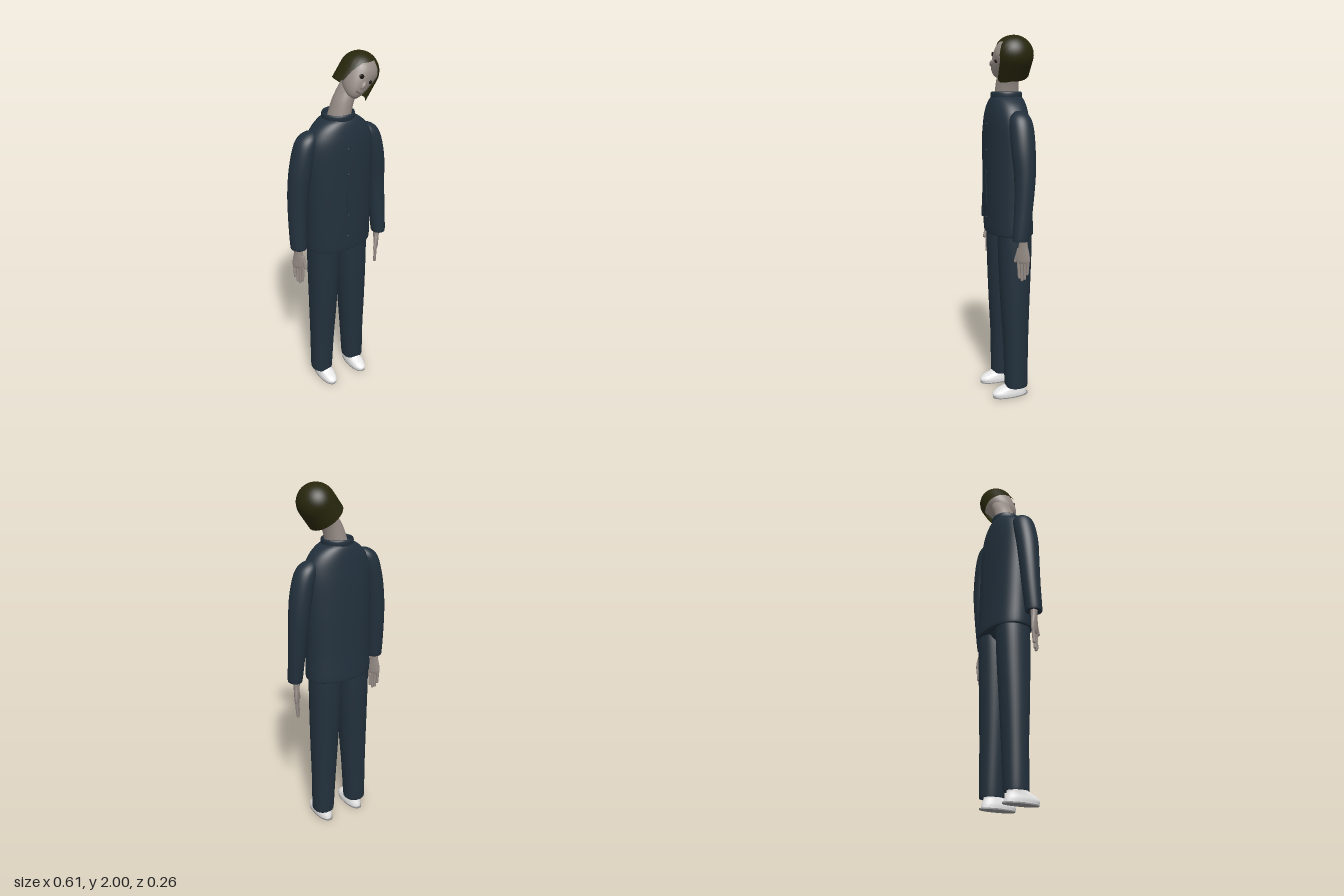
import * as THREE from 'three';

const mat = (name, color, side = THREE.FrontSide) => {
  const m = new THREE.MeshStandardMaterial({ color, side });
  m.name = name;
  return m;
};

// Smooth skin over rows (bottom to top) of n points each, with optional flat end caps
function skin(rows, n, capped) {
  const pos = rows.flat(2), idx = [];
  for (let i = 0; i < rows.length - 1; i++) {
    for (let j = 0; j < n; j++) {
      const k = (j + 1) % n, a = i * n, b = a + n;
      idx.push(a + j, a + k, b + k, a + j, b + k, b + j);
    }
  }
  if (capped) {
    for (const [row, up] of [[rows[0], false], [rows[rows.length - 1], true]]) {
      const base = pos.length / 3;
      const mid = [0, 1, 2].map((c) => row.reduce((s, p) => s + p[c], 0) / n);
      pos.push(...row.flat(), ...mid);
      for (let j = 0; j < n; j++) {
        const k = (j + 1) % n;
        idx.push(base + n, base + (up ? j : k), base + (up ? k : j));
      }
    }
  }
  const g = new THREE.BufferGeometry();
  g.setAttribute('position', new THREE.Float32BufferAttribute(pos, 3));
  g.setIndex(idx);
  g.computeVertexNormals();
  return g;
}

// Loft through oval rings [cx, y, cz, rx, rz]; power above 2 squares the oval
function loft(rings, { n = 36, sub = 5, power = 2, capped = true } = {}) {
  const curve = (f) => new THREE.CatmullRomCurve3(rings.map(f), false, 'catmullrom', 0.5);
  const mid = curve((r) => new THREE.Vector3(r[0], r[1], r[2]));
  const rad = curve((r) => new THREE.Vector3(r[3], r[4], 0));
  const steps = (rings.length - 1) * sub, rows = [];
  const bend = (v) => Math.sign(v) * Math.abs(v) ** (2 / power);
  for (let i = 0; i <= steps; i++) {
    const c = mid.getPoint(i / steps), r = rad.getPoint(i / steps), row = [];
    for (let j = 0; j < n; j++) {
      const a = (j / n) * Math.PI * 2;
      row.push([c.x + Math.max(r.x, 0) * bend(Math.sin(a)), c.y, c.z + Math.max(r.y, 0) * bend(Math.cos(a))]);
    }
    rows.push(row);
  }
  return skin(rows, n, capped);
}

// Bobbed hair: dome with straight walls, cut away over the face
function hairGeometry() {
  const rim = [[-180, -0.093], [-80, -0.093], [-64, -0.088], [-56, -0.03], [-40, 0.03], [-5, 0.075],
    [15, 0.05], [32, 0], [38, -0.11], [50, -0.12], [80, -0.096], [180, -0.093]];
  const rimAt = (d) => {
    const i = Math.max(1, rim.findIndex((p) => p[0] >= d));
    const [a, b] = [rim[i - 1], rim[i]];
    return THREE.MathUtils.lerp(a[1], b[1], (d - a[0]) / (b[0] - a[0]));
  };
  const n = 90, R = 0.1, rows = [];
  for (let i = 0; i <= 20; i++) {
    const row = [];
    for (let j = 0; j < n; j++) {
      const d = -180 + (j * 360) / n, a = THREE.MathUtils.degToRad(d), low = rimAt(d);
      const length = low > 0 ? R * Math.acos(low / R) : (R * Math.PI) / 2 - low;
      const s = (1 - i / 20) * length, phi = Math.min(s / R, Math.PI / 2);
      const y = R * Math.cos(phi) - Math.max(0, s - (R * Math.PI) / 2);
      row.push([R * Math.sin(phi) * Math.sin(a), y, 0.106 * Math.sin(phi) * Math.cos(a)]);
    }
    rows.push(row);
  }
  return skin(rows, n, false);
}

export function createModel() {
  const cloth = mat('dark blue cloth', 0x22303c);
  const skinTone = mat('pale skin', 0x968c86);
  const hairMat = mat('dark olive hair', 0x27260c, THREE.DoubleSide);
  const white = mat('white shoe', 0xf0f0f0);
  const soleMat = mat('grey sole', 0x909090);
  const dark = mat('dark eye', 0x1e1814);
  const lipMat = mat('lip', 0x75645f);

  const model = new THREE.Group();
  model.name = 'standingFigure';
  const add = (name, geometry, material, parent = model) => {
    const mesh = new THREE.Mesh(geometry, material);
    mesh.name = name;
    parent.add(mesh);
    return mesh;
  };
  const blob = (name, material, p, s, parent = model) => {
    const mesh = add(name, new THREE.SphereGeometry(1, 24, 16), material, parent);
    mesh.position.set(...p);
    mesh.scale.set(...s);
    return mesh;
  };

  // Jacket
  add('jacket', loft([
    [0.002, 0.94, -0.005, 0.188, 0.116], [0.002, 0.96, -0.005, 0.194, 0.122], [0, 1.1, 0, 0.193, 0.12],
    [0, 1.3, 0.003, 0.197, 0.117], [0, 1.48, 0.006, 0.199, 0.112], [0, 1.57, 0.008, 0.188, 0.106],
    [0, 1.63, 0.007, 0.158, 0.098], [0, 1.67, 0.006, 0.115, 0.088], [0, 1.69, 0.005, 0.075, 0.075],
  ], { n: 48, power: 2.25 }), cloth);
  add('collar', loft([
    [0, 1.665, 0.005, 0.083, 0.08], [0, 1.69, 0.005, 0.087, 0.085], [0, 1.707, 0.005, 0.086, 0.084],
    [0, 1.71, 0.005, 0.078, 0.077], [0, 1.68, 0.005, 0.07, 0.07],
  ], { capped: false }), cloth);
  add('placket', new THREE.BoxGeometry(0.006, 0.2, 0.006), cloth).position.set(-0.012, 1.2, 0.12);
  for (const y of [1.03, 1.16, 1.28, 1.4, 1.54]) {
    blob('button', cloth, [-0.008, y, y > 1.5 ? 0.116 : 0.12], [0.007, 0.007, 0.005]);
  }

  // Sleeves
  add('rightSleeve', loft([
    [-0.258, 0.99, 0.012, 0.04, 0.042], [-0.259, 1.0, 0.012, 0.046, 0.047], [-0.254, 1.15, 0.002, 0.051, 0.052],
    [-0.245, 1.3, -0.002, 0.056, 0.058], [-0.228, 1.43, 0, 0.06, 0.064], [-0.203, 1.54, 0, 0.06, 0.064],
    [-0.182, 1.6, 0, 0.054, 0.054], [-0.168, 1.63, 0, 0.026, 0.026], [-0.163, 1.633, 0, 0.001, 0.001],
  ]), cloth);
  add('leftSleeve', loft([
    [0.262, 0.945, 0.025, 0.034, 0.04], [0.262, 0.957, 0.025, 0.04, 0.045], [0.256, 1.12, 0.008, 0.047, 0.05],
    [0.247, 1.28, -0.002, 0.054, 0.057], [0.232, 1.41, 0, 0.059, 0.064], [0.208, 1.52, 0, 0.06, 0.064],
    [0.186, 1.58, 0, 0.053, 0.054], [0.171, 1.61, 0, 0.026, 0.026], [0.166, 1.613, 0, 0.001, 0.001],
  ]), cloth);

  // Hands, turned so the thumbs point forward and inward
  const palm = loft([
    [0, -0.115, 0, 0.03, 0.009], [0, -0.1, 0, 0.037, 0.013], [0.002, -0.06, 0, 0.036, 0.015],
    [0, -0.02, 0, 0.025, 0.017], [0, 0.03, 0, 0.023, 0.02],
  ], { n: 24 });
  const finger = (a, b, r, parent, name) => {
    const p = new THREE.Vector3(...a), q = new THREE.Vector3(...b), dir = q.clone().sub(p);
    const mesh = add(name, new THREE.CapsuleGeometry(r, dir.length(), 5, 10), skinTone, parent);
    mesh.position.copy(p).add(q).multiplyScalar(0.5);
    mesh.quaternion.setFromUnitVectors(new THREE.Vector3(0, 1, 0), dir.normalize());
  };
  for (const [name, x, y, z, turn] of [
    ['rightHand', -0.263, 0.972, 0.012, -0.93], ['leftHand', 0.262, 0.932, 0.012, Math.PI + 0.93],
  ]) {
    const hand = new THREE.Group();
    hand.name = name;
    hand.position.set(x, y, z);
    hand.rotation.y = turn;
    model.add(hand);
    add('palm', palm, skinTone, hand);
    [0.062, 0.088, 0.096, 0.083].forEach((length, i) => {
      const fx = -0.027 + i * 0.018;
      finger([fx, -0.1, 0], [fx * 0.8, -0.11 - length, 0.004], 0.0082, hand, 'finger');
    });
    finger([0.025, -0.04, 0], [0.044, -0.105, 0.006], 0.009, hand, 'thumb');
  }

  // Trousers and shoes
  blob('trouserSeat', cloth, [0, 0.965, -0.008], [0.07, 0.075, 0.085]);
  for (const [side, s] of [['left', 1], ['right', -1]]) {
    add(side + 'TrouserLeg', loft([
      [s * 0.113, 0.068, -0.01, 0.059, 0.061], [s * 0.113, 0.08, -0.01, 0.063, 0.065],
      [s * 0.106, 0.3, -0.01, 0.07, 0.069], [s * 0.1, 0.5, -0.008, 0.078, 0.078],
      [s * 0.094, 0.72, -0.008, 0.085, 0.088], [s * 0.091, 0.88, -0.009, 0.088, 0.093],
      [s * 0.09, 0.98, -0.009, 0.085, 0.094],
    ], { power: 2.2 }), cloth);
    add(side + 'Shoe', loft([
      [s * 0.107, 0.006, 0.026, 0.044, 0.1], [s * 0.107, 0.025, 0.03, 0.046, 0.1],
      [s * 0.107, 0.045, 0.022, 0.043, 0.084], [s * 0.108, 0.062, 0.005, 0.04, 0.06],
      [s * 0.109, 0.09, -0.01, 0.038, 0.046],
    ], { power: 2.2 }), white);
    add(side + 'Sole', loft([
      [s * 0.107, 0, 0.022, 0.044, 0.105], [s * 0.107, 0.007, 0.022, 0.044, 0.105],
    ], { sub: 1, power: 2.2 }), soleMat);
  }

  // Neck, leaning toward the left shoulder
  add('neck', loft([
    [0, 1.66, 0.006, 0.062, 0.068], [0.012, 1.72, 0.008, 0.057, 0.064], [0.032, 1.78, 0.01, 0.055, 0.06],
    [0.068, 1.84, 0.01, 0.053, 0.058], [0.09, 1.88, 0.01, 0.045, 0.05],
  ]), skinTone);

  // Tilted head
  const head = new THREE.Group();
  head.name = 'head';
  head.position.set(0.12, 1.9, 0.012);
  head.rotation.z = -0.63;
  model.add(head);
  add('face', loft([
    [-0.006, -0.137, 0.05, 0.001, 0.001], [-0.006, -0.134, 0.05, 0.022, 0.026], [-0.008, -0.115, 0.042, 0.042, 0.05],
    [-0.008, -0.08, 0.026, 0.063, 0.075], [-0.007, -0.03, 0.012, 0.08, 0.092], [-0.002, 0.02, 0.002, 0.09, 0.098],
    [0, 0.065, 0, 0.068, 0.073], [0, 0.088, 0, 0.033, 0.035], [0, 0.094, 0, 0.001, 0.001],
  ]), skinTone, head);
  add('hair', hairGeometry(), hairMat, head);
  for (const s of [-1, 1]) blob('eye', dark, [-0.013 + s * 0.028, -0.027, 0.096], [0.016, 0.012, 0.006], head);
  blob('nose', skinTone, [-0.012, -0.06, 0.1], [0.011, 0.022, 0.016], head);
  blob('mouth', lipMat, [-0.01, -0.1, 0.094], [0.018, 0.005, 0.004], head);

  return model;
}
